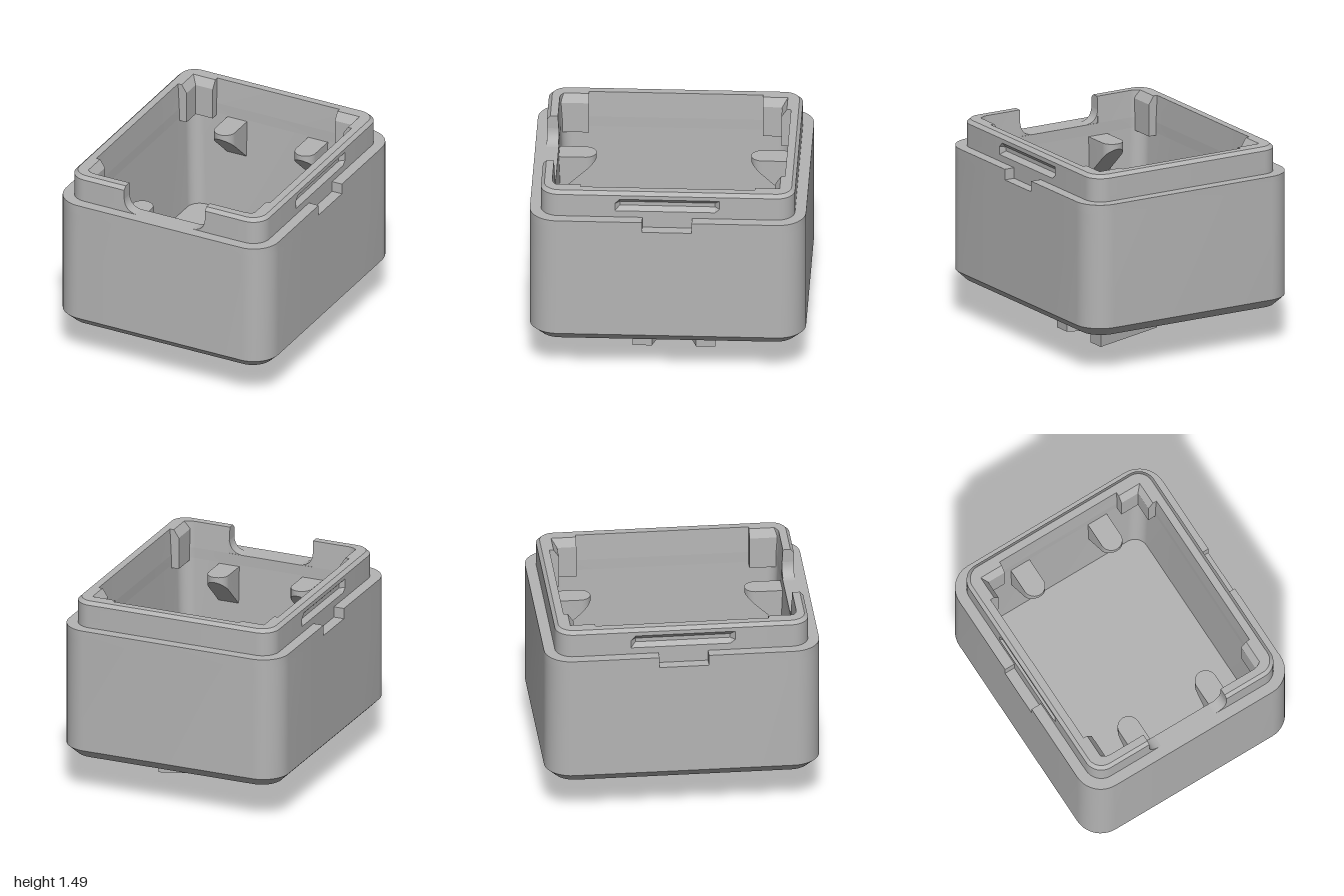
import * as THREE from 'three';
import { toCreasedNormals } from 'three/addons/utils/BufferGeometryUtils.js';

const GAP = 0.33; // half width of the front cut-out in the rim

// Rounded rectangle at height y, running from the front centre round by +x.
function ring(hx, hz, r, y, push = 0) {
  const pts = [];
  const add = (x, z) => pts.push(new THREE.Vector3(x, y, z));
  const corner = (sx, sz, start) => {
    for (let i = 0; i <= 10; i++) {
      const a = start + (i / 10) * Math.PI / 2;
      add(sx * (hx - r) + r * Math.sin(a), sz * (hz - r) + r * Math.cos(a));
    }
  };
  const side = (s) => {
    for (const [k, p] of [[0.413, 0], [0.375, push], [-0.375, push], [-0.413, 0]]) {
      add(s * (hx - p), s * k * hz);
    }
  };
  add(Math.min(GAP, hx), hz);
  corner(1, 1, 0);
  side(1);
  corner(1, -1, Math.PI / 2);
  corner(-1, -1, Math.PI);
  side(-1);
  corner(-1, 1, Math.PI * 1.5);
  add(-Math.min(GAP, hx), hz);
  return pts;
}

// Skin joining successive rings.
function loft(rows, closed) {
  const pos = [];
  const n = rows[0].length;
  for (let j = 0; j < rows.length - 1; j++) {
    for (let i = 0; i < (closed ? n : n - 1); i++) {
      const k = (i + 1) % n;
      const a = rows[j][i], b = rows[j][k], c = rows[j + 1][k], d = rows[j + 1][i];
      for (const p of [a, b, c, a, c, d]) pos.push(p.x, p.y, p.z);
    }
  }
  const g = new THREE.BufferGeometry();
  g.setAttribute('position', new THREE.Float32BufferAttribute(pos, 3));
  return g;
}

const shapeOf = (pts) => new THREE.Shape(pts.map(([x, y]) => new THREE.Vector2(x, y)));
const extrude = (shape, depth) =>
  new THREE.ExtrudeGeometry(shape, { depth, bevelEnabled: false, curveSegments: 12 });

export function createModel() {
  const group = new THREE.Group();
  const grey = new THREE.MeshStandardMaterial({ color: 0xb4b4b4 });
  grey.name = 'grey plastic';
  const add = (name, geometry) => {
    const mesh = new THREE.Mesh(toCreasedNormals(geometry, 0.5), grey);
    mesh.name = name;
    group.add(mesh);
    return mesh;
  };

  // Tub: underside, chamfer, outer wall, ledge, drafted inner wall, floor
  add('tub', loft([
    ring(0, 0, 0, 0.29),
    ring(0.80, 0.93, 0.15, 0.29),
    ring(0.87, 1, 0.2, 0.36),
    ring(0.87, 1, 0.2, 1.21),
    ring(0.70, 0.83, 0.1, 1.21),
    ring(0.67, 0.80, 0.1, 0.45),
    ring(0, 0, 0, 0.45),
  ], true));

  // Shoulder: top band of the tub with a pry notch in each side
  const outline = [];
  let last = null;
  for (const p of ring(0.87, 1, 0.2, 0)) {
    if (last && Math.abs(p.x) > 0.86 && p.z * last.z < 0) {
      const s = Math.sign(p.x);
      outline.push([0.87 * s, 0.18 * s], [0.79 * s, 0.18 * s], [0.79 * s, -0.18 * s], [0.87 * s, -0.18 * s]);
    }
    outline.push([p.x, p.z]);
    last = p;
  }
  const band = shapeOf(outline.map(([x, z]) => [x, -z]));
  band.holes.push(new THREE.Path(ring(0.70, 0.83, 0.1, 0).map((p) => new THREE.Vector2(p.x, -p.z))));
  add('shoulder', extrude(band, 0.08).rotateX(-Math.PI / 2).translate(0, 1.21, 0));

  // Rim: chamfered lip with a latch groove in each side, open at the front
  const lip = (y, push) => ring(0.79, 0.92, 0.13, y, push);
  const rim = [
    lip(1.29), lip(1.34), lip(1.37, 0.035), lip(1.40, 0.035), lip(1.435), lip(1.465),
    ring(0.765, 0.895, 0.11, 1.49),
    ring(0.71, 0.84, 0.1, 1.49),
    ring(0.70, 0.83, 0.1, 1.29),
  ];
  for (const row of rim) { // close the two ends
    row.unshift(new THREE.Vector3(GAP, 1.29, 0.875));
    row.push(new THREE.Vector3(-GAP, 1.29, 0.875));
  }
  add('rim', loft(rim, false));

  // Rounded lower corners of the front cut-out
  for (const s of [1, -1]) {
    const fillet = new THREE.Shape();
    fillet.moveTo(s * 0.34, 1.29);
    fillet.lineTo(s * 0.34, 1.39);
    fillet.lineTo(s * GAP, 1.39);
    fillet.quadraticCurveTo(s * 0.322, 1.298, s * 0.23, 1.29);
    add('cutoutFillet', extrude(fillet, 0.086).translate(0, 0, 0.833));
  }

  // Guide ribs in the corners, chamfered at the top
  const rib = (inner, from, length) => extrude(shapeOf([
    [inner + 0.08, 1.49], [inner + 0.04, 1.49], [inner, 1.43], [inner, 1.19], [inner + 0.08, 1.19],
  ]), length).translate(0, 0, from);
  for (const turn of [0, Math.PI]) {
    add('sideRib', rib(0.64, 0.63, 0.2).rotateY(turn));
    add('sideRib', rib(0.64, -0.83, 0.2).rotateY(turn));
  }
  add('backRib', rib(0.77, 0.5, 0.18).rotateY(Math.PI / 2));
  add('backRib', rib(0.77, -0.68, 0.18).rotateY(Math.PI / 2));

  // Round-nosed support brackets with a sloping underside
  for (const turn of [0, Math.PI]) {
    for (const x of [-0.33, 0.33]) {
      const plan = new THREE.Shape();
      plan.moveTo(-0.08, -0.86);
      plan.lineTo(0.08, -0.86);
      plan.lineTo(0.08, -0.64);
      plan.absarc(0, -0.64, 0.08, 0, Math.PI, true);
      // nose points to the centre of the box
      const nose = shapeOf([[-0.08, -0.86], [0.08, -0.86]]);
      nose.lineTo(0.08, -0.64);
      nose.absarc(0, -0.64, 0.08, 0, Math.PI, false);
      const g = extrude(nose, 1).rotateX(-Math.PI / 2);
      const p = g.attributes.position;
      for (let i = 0; i < p.count; i++) {
        const t = (p.getZ(i) - 0.56) / 0.3;
        p.setY(i, p.getY(i) > 0.5 ? 1.2 : 1.16 - 0.28 * t);
      }
      add('supportBracket', g.translate(x, 0, 0).rotateY(turn));
    }
  }

  // V-shaped key under the base
  add('key', extrude(shapeOf([
    [-0.24, -0.08], [0.37, -0.27], [0.37, -0.13], [-0.1, 0.03], [0.37, 0.19], [0.37, 0.33], [-0.24, 0.12],
  ]), 0.3).rotateX(-Math.PI / 2));

  return group;
}
